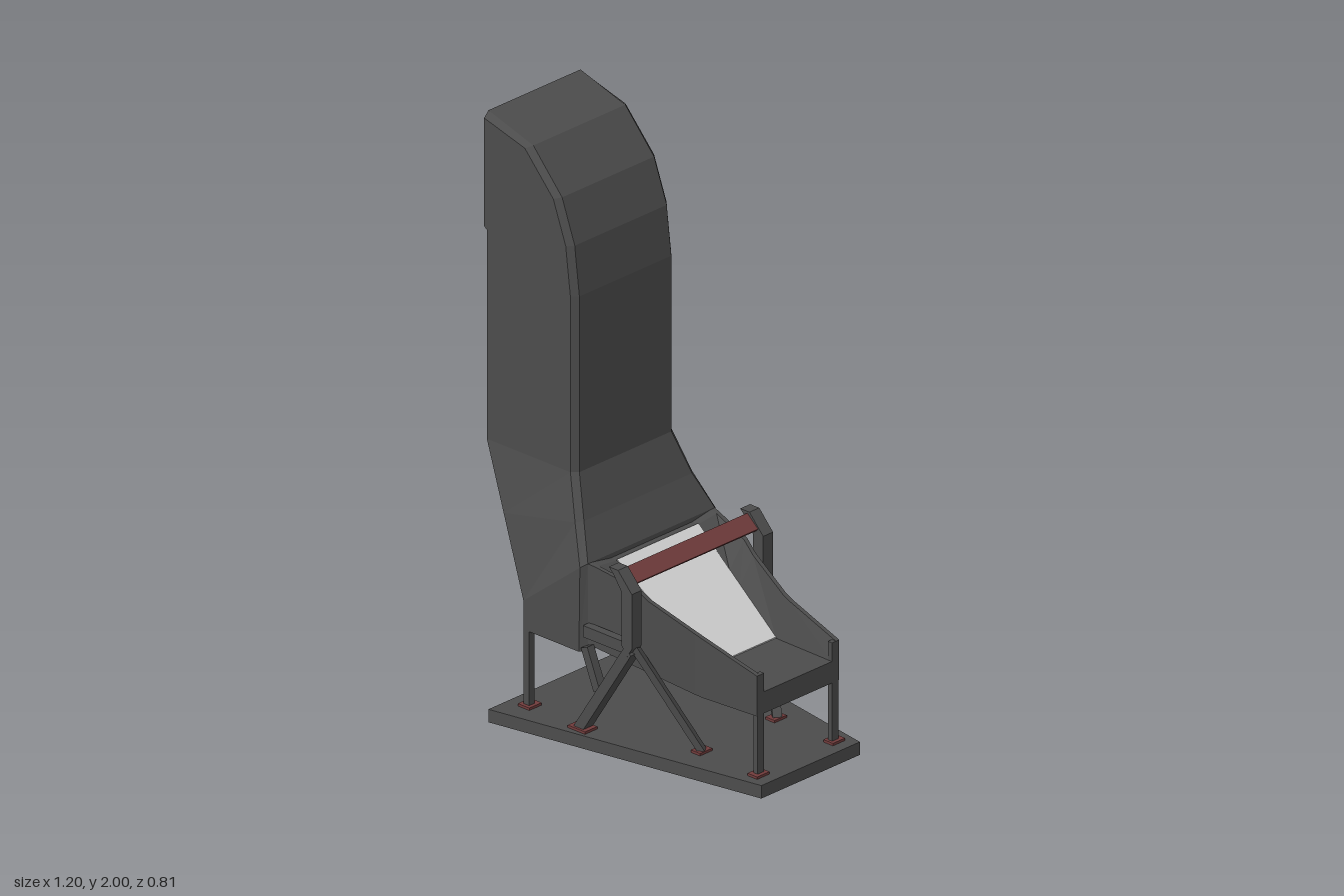
import * as THREE from 'three';

const flat = (name, color) => {
  const m = new THREE.MeshStandardMaterial({ color });
  m.name = name;
  return m;
};

// Closed solid through equal-length rings of [x, y, z], with end caps; faces turned outward
function loft(rings) {
  const tris = [];
  const n = rings[0].length;
  for (let i = 0; i < rings.length - 1; i++) {
    for (let j = 0; j < n; j++) {
      const k = (j + 1) % n;
      const a = rings[i][j], b = rings[i][k], c = rings[i + 1][k], d = rings[i + 1][j];
      tris.push([a, b, c], [a, c, d]);
    }
  }
  const first = rings[0], last = rings[rings.length - 1];
  for (let j = 1; j < n - 1; j++) {
    tris.push([first[0], first[j + 1], first[j]], [last[0], last[j], last[j + 1]]);
  }
  let volume = 0;
  const A = new THREE.Vector3(), B = new THREE.Vector3(), C = new THREE.Vector3();
  for (const [a, b, c] of tris) volume += A.fromArray(a).dot(B.fromArray(b).cross(C.fromArray(c)));
  if (volume < 0) tris.forEach((t) => t.reverse());
  const g = new THREE.BufferGeometry();
  g.setAttribute('position', new THREE.Float32BufferAttribute(tris.flat(2), 3));
  g.computeVertexNormals();
  return g;
}

export function createModel() {
  const steel = flat('dark steel', 0x4c4c4c);
  const screen = flat('pale screen', 0xd2d2d2);
  const rust = flat('rust red', 0x713c3c);
  const model = new THREE.Group();

  const add = (name, geometry, material = steel) => {
    const mesh = new THREE.Mesh(geometry, material);
    mesh.name = name;
    model.add(mesh);
    return mesh;
  };
  const box = (name, size, pos, material) => {
    const mesh = add(name, new THREE.BoxGeometry(...size), material);
    mesh.position.set(...pos);
    return mesh;
  };
  const beam = (name, from, to, depth, width) => {
    const a = new THREE.Vector3(...from), b = new THREE.Vector3(...to);
    const mesh = add(name, new THREE.BoxGeometry(width, depth, a.distanceTo(b)));
    mesh.position.copy(a).add(b).multiplyScalar(0.5);
    mesh.lookAt(b);
  };

  // Tapered base plate
  const plan = (y) => [[-0.415, y, -0.405], [0.6, y, -0.225], [0.6, y, 0.225], [-0.415, y, 0.405]];
  add('basePlate', loft([plan(0), plan(0.045)]));

  // Tower and hood: front x, y, back x, y, half width
  const tower = [
    [-0.6, 2.0, -0.6, 1.97, 0.23],
    [-0.405, 1.94, -0.6, 1.85, 0.23],
    [-0.28, 1.8, -0.6, 1.72, 0.23],
    [-0.225, 1.65, -0.6, 1.605, 0.23],
    [-0.222, 1.62, -0.588, 1.595, 0.23],
    [-0.205, 1.48, -0.588, 1.48, 0.23],
    [-0.205, 0.87, -0.588, 0.87, 0.23],
    [-0.15, 0.73, -0.48, 0.66, 0.267],
    [-0.092, 0.615, -0.353, 0.41, 0.31],
    [-0.092, 0.31, -0.353, 0.31, 0.31],
  ];
  const bevel = 0.02;
  add('towerAndHood', loft(tower.map(([fx, fy, bx, by, w]) => {
    const t = bevel / Math.hypot(bx - fx, by - fy);
    const ix = fx + (bx - fx) * t, iy = fy + (by - fy) * t;
    return [
      [bx, by, w], [bx, by, -w], [ix, iy, -w],
      [fx, fy, bevel - w], [fx, fy, w - bevel], [ix, iy, w],
    ];
  })));

  // Trough: x, rim y, half width, underside y, floor y, floor half width
  const trough = [
    [-0.095, 0.615, 0.29, 0.335, 0.6, 0.186],
    [-0.065, 0.61, 0.284, 0.33, 0.6, 0.185],
    [0.08, 0.575, 0.257, 0.303, 0.491, 0.176],
    [0.13, 0.54, 0.246, 0.293, 0.454, 0.172],
    [0.297, 0.468, 0.209, 0.258, 0.33, 0.16],
    [0.33, 0.457, 0.205, 0.255, 0.33, 0.159],
    [0.545, 0.395, 0.188, 0.255, 0.33, 0.155],
  ];
  add('troughBed', loft(trough.map(([x, , , bottom, floor, f]) =>
    [[x, bottom, -f], [x, floor, -f], [x, floor, f], [x, bottom, f]])));
  for (const s of [-1, 1]) {
    add('troughWall', loft(trough.map(([x, rim, w, bottom, floor, f]) => [
      [x, bottom, s * f], [x, bottom, s * w], [x, rim, s * w],
      [x, rim, s * (w - 0.015)], [x, floor, s * f],
    ])));
  }

  // Thin sloping screen on the trough floor
  add('screen', loft([trough[1], trough[4]].map(([x, , , , y, f]) =>
    [[x, y, -f], [x, y + 0.004, -f], [x, y + 0.004, f], [x, y, f]])), screen);

  // Crossbar held between the two hooked brackets
  const bar = box('crossbar', [0.062, 0.012, 0.56], [0.08, 0.624, 0], rust);
  bar.rotation.z = -0.72;

  const hook = new THREE.Shape([
    [0.03, 0.655], [0.07, 0.655], [0.13, 0.59], [0.13, 0.4], [0.108, 0.365],
    [0.085, 0.4], [0.085, 0.585], [0.05, 0.635],
  ].map(([x, y]) => new THREE.Vector2(x, y)));

  for (const s of [-1, 1]) {
    // Hooked upright with spread struts
    const upright = add('hookedUpright',
      new THREE.ExtrudeGeometry(hook, { depth: 0.045, bevelEnabled: false }));
    upright.position.z = s * 0.3 - 0.0225;
    beam('rearStrut', [0.11, 0.385, s * 0.3], [-0.108, 0.045, s * 0.3], 0.036, 0.044);
    beam('frontStrut', [0.11, 0.4, s * 0.295], [0.292, 0.048, s * 0.17], 0.022, 0.03);
    beam('sideBrace', [-0.085, 0.335, s * 0.3], [-0.03, 0.2, s * 0.3], 0.03, 0.03);
    box('sideTie', [0.18, 0.04, 0.03], [0, 0.39, s * 0.3]);

    // Corner legs
    box('backLeg', [0.024, 0.32, 0.024], [-0.34, 0.205, s * 0.298]);
    box('frontLeg', [0.018, 0.35, 0.03], [0.537, 0.22, s * 0.17]);

    // Foot plates
    for (const [x, z, length] of [[-0.34, 0.295, 0.05], [-0.103, 0.303, 0.075],
      [0.288, 0.17, 0.04], [0.538, 0.173, 0.042]]) {
      box('footPlate', [length, 0.009, 0.056], [x, 0.049, s * z], rust);
    }
  }
  return model;
}
